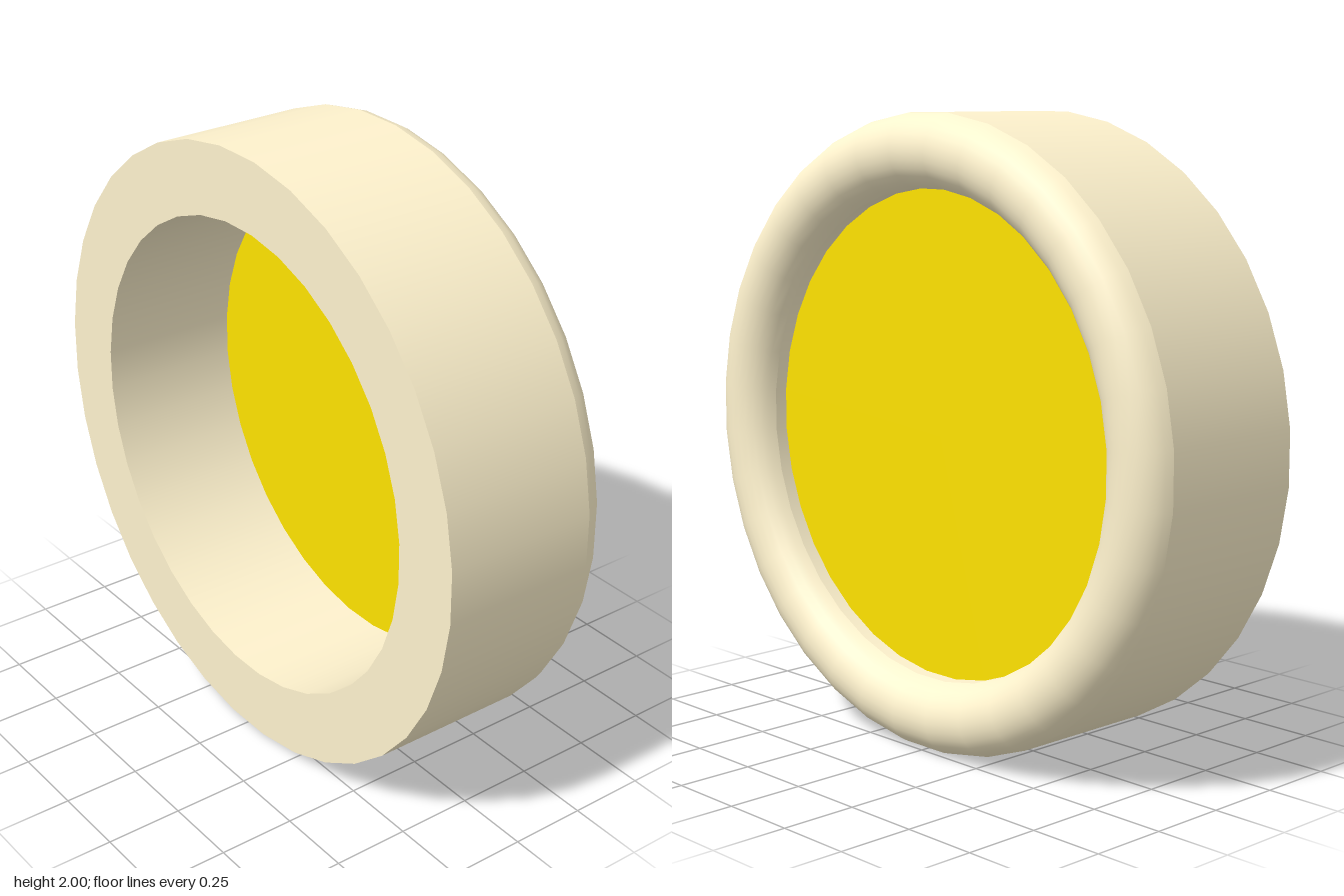
import * as THREE from 'three';

const SIDES = 36;
const HALF_STEP = Math.PI / SIDES;
const OUTER = 1 / Math.cos(HALF_STEP); // flats, not corners, touch the ground
const INNER = 0.773;
const BACK = -0.305;
const FRONT = 0.305;
const LIP_DEPTH = 0.095;
const LIP_START = FRONT - LIP_DEPTH;
const DISC_X = 0.167;

// Revolves [radius, x] points around the x axis
function revolve(points, material, name) {
  const profile = points.map(([r, x]) => new THREE.Vector2(r, x));
  const geometry = new THREE.LatheGeometry(profile, SIDES, HALF_STEP);
  geometry.rotateZ(-Math.PI / 2);
  const mesh = new THREE.Mesh(geometry, material);
  mesh.name = name;
  return mesh;
}

export function createModel() {
  const group = new THREE.Group();
  group.name = 'ringWithDisc';

  const cream = new THREE.MeshStandardMaterial({ color: 0xfef2cd });
  const yellow = new THREE.MeshStandardMaterial({ color: 0xfee200, side: THREE.DoubleSide });

  // Straight walls and flat back of the ring
  group.add(revolve([[OUTER, BACK], [OUTER, LIP_START]], cream, 'outerWall'));
  group.add(revolve([[INNER, LIP_START], [INNER, BACK]], cream, 'innerWall'));
  group.add(revolve([[INNER, BACK], [OUTER, BACK]], cream, 'ringBack'));

  // Rounded front lip: a circular arc spanning the ring's thickness
  const half = (OUTER - INNER) / 2;
  const middle = (OUTER + INNER) / 2;
  const radius = (half * half + LIP_DEPTH * LIP_DEPTH) / (2 * LIP_DEPTH);
  const spread = Math.asin(half / radius);
  const lip = [];
  for (let i = 0; i <= 12; i++) {
    const a = spread * (1 - i / 6);
    lip.push([middle + radius * Math.sin(a), FRONT - radius + radius * Math.cos(a)]);
  }
  group.add(revolve(lip, cream, 'lip'));

  // Thin disc set just behind the lip
  const discGeometry = new THREE.CircleGeometry(INNER, SIDES, HALF_STEP);
  discGeometry.rotateY(Math.PI / 2);
  const disc = new THREE.Mesh(discGeometry, yellow);
  disc.name = 'disc';
  disc.position.x = DISC_X;
  group.add(disc);

  // Stand the ring on the ground
  group.children.forEach((part) => { part.position.y = 1; });
  return group;
}
